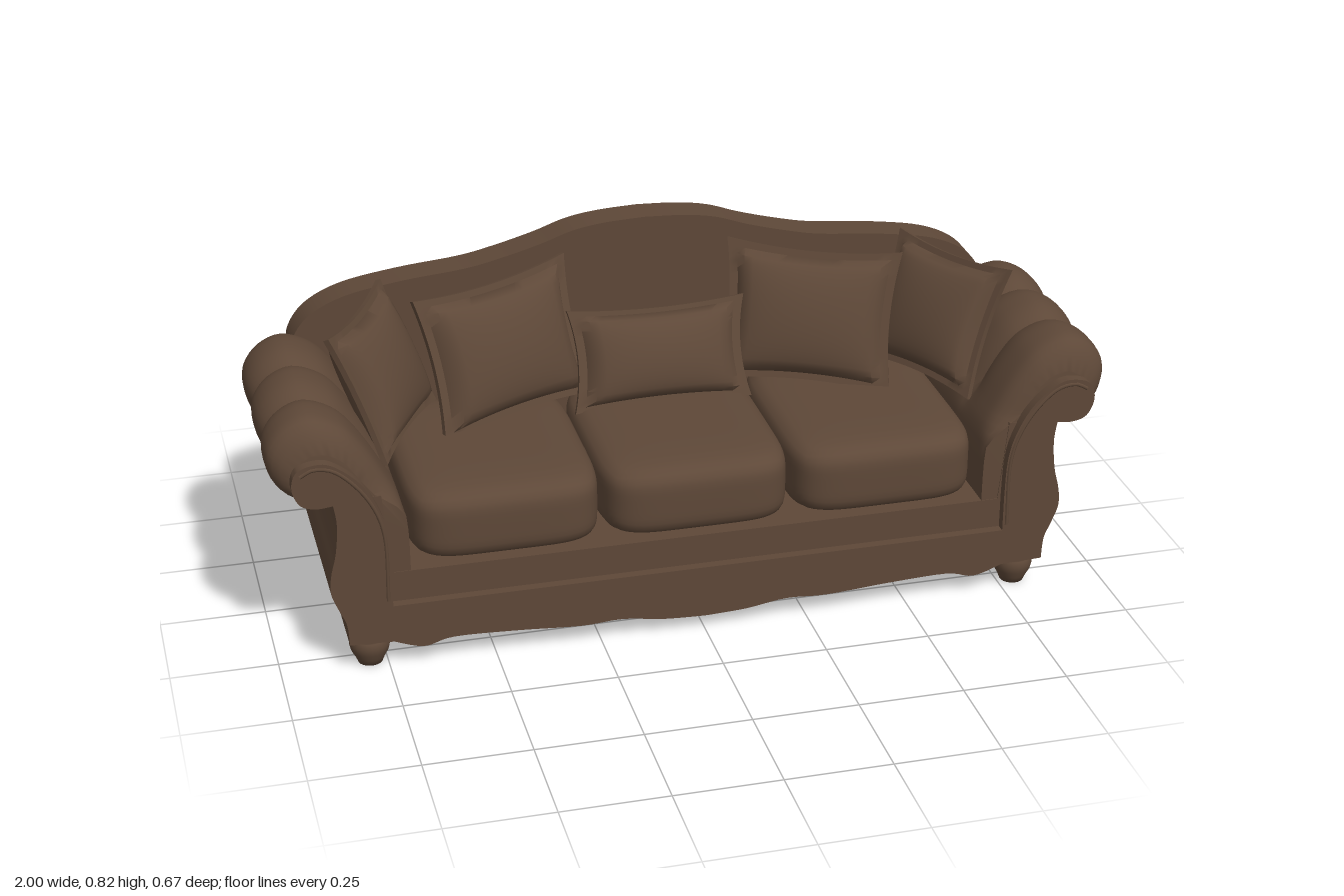
import * as THREE from 'three';
import { mergeVertices, toCreasedNormals } from 'three/addons/utils/BufferGeometryUtils.js';

const upholstery = new THREE.MeshStandardMaterial({ color: 0x5e4838 });
upholstery.name = 'brown upholstery';

const vecs = (pts) => pts.map(([x, y]) => new THREE.Vector2(x, y));
const smooth = (pts, n = 5) => new THREE.SplineCurve(vecs(pts)).getPoints((pts.length - 1) * n);

// Full symmetric shape from the +x half, listed from bottom centre to top centre
function mirrored(half) {
  const left = half.slice(1, -1).reverse().map((p) => new THREE.Vector2(-p.x, p.y));
  return new THREE.Shape([...half, ...left]);
}

function slab(shape, z0, z1, steps = 1) {
  const g = new THREE.ExtrudeGeometry(shape, { depth: z1 - z0, steps, bevelEnabled: false });
  g.translate(0, 0, z0);
  return g;
}

// Move every vertex by a rule
function reshape(g, rule) {
  const p = g.attributes.position;
  const v = new THREE.Vector3();
  for (let i = 0; i < p.count; i++) {
    v.fromBufferAttribute(p, i);
    rule(v);
    p.setXYZ(i, v.x, v.y, v.z);
  }
  return g;
}

function weld(g) {
  g.deleteAttribute('uv');
  g.deleteAttribute('normal');
  const m = mergeVertices(g, 1e-5);
  m.computeVertexNormals();
  return m;
}

// Outline pieces shared by body, front panel and back
const scallop = smooth([[0, 0.035], [0.1, 0.04], [0.2, 0.054], [0.3, 0.05], [0.45, 0.06],
  [0.6, 0.065], [0.67, 0.05], [0.74, 0.072]]);
const side = smooth([[0.842, 0.076], [0.846, 0.13], [0.862, 0.17], [0.878, 0.215], [0.876, 0.26],
  [0.862, 0.32], [0.856, 0.39], [0.862, 0.44]]);

// Padded arm: scroll section with three lobes along its depth
function armGeometry(s) {
  const section = smooth([[0.69, 0.23], [0.695, 0.38], [0.73, 0.465], [0.78, 0.55], [0.83, 0.605],
    [0.9, 0.632], [0.96, 0.61], [0.997, 0.56], [0.995, 0.5], [0.965, 0.455], [0.91, 0.437],
    [0.857, 0.442]], 4);
  section.push(new THREE.Vector2(0.84, 0.35), new THREE.Vector2(0.8, 0.23));
  const shape = new THREE.Shape(section.map((p) => new THREE.Vector2(p.x * s, p.y)));
  const g = slab(shape, -0.25, 0.31, 42);
  reshape(g, (v) => {
    const t = ((v.z + 0.25) / 0.56) * 3;
    const lobe = Math.abs(2 * (t - Math.min(2, Math.floor(t))) - 1);
    let f = 1 - 0.13 * lobe ** 2.5;
    const end = THREE.MathUtils.clamp((v.z - 0.25) / 0.06, 0, 1);
    f -= 0.27 * end ** 3;
    const k = 1 + (f - 1) * THREE.MathUtils.smoothstep(v.y, 0.38, 0.47);
    v.x = s * (0.86 + (Math.abs(v.x) - 0.86) * k);
    if (v.y > 0.45) v.y = 0.45 + (v.y - 0.45) * k;
  });
  return toCreasedNormals(g, 0.7);
}

// Plump seat cushion: a cube rounded to a superellipsoid
function cushionGeometry(w, h, d) {
  return weld(reshape(new THREE.BoxGeometry(2, 2, 2, 22, 12, 22), (v) => {
    const k = 5.5;
    const n = (Math.abs(v.x) ** k + Math.abs(v.y) ** k + Math.abs(v.z) ** k) ** (1 / k);
    v.set((v.x / n) * w / 2, (v.y / n) * h / 2, (v.z / n) * d / 2);
  }));
}

// Throw pillow: puffed middle, flat flange and pulled-out corners
function pillowGeometry(w, h, t) {
  const g = reshape(new THREE.BoxGeometry(2, 2, 2, 20, 20, 1), (v) => {
    const u = v.x, q = v.y;
    const a = Math.max(0, 1 - (u / 0.9) ** 2), b = Math.max(0, 1 - (q / 0.9) ** 2);
    const inside = a > 1e-6 && b > 1e-6;
    const z = 0.007 + (inside ? 0.006 + t * (a * b) ** 0.42 : 0);
    v.set(u * (w / 2) * (1 - 0.08 * (1 - q * q)), q * (h / 2) * (1 - 0.1 * (1 - u * u)), Math.sign(v.z) * z);
  });
  g.deleteAttribute('uv');
  return toCreasedNormals(g, 0.9);
}

export function createModel() {
  const model = new THREE.Group();
  model.name = 'sofa';
  const add = (name, geometry, x = 0, y = 0, z = 0) => {
    const m = new THREE.Mesh(geometry, upholstery);
    m.name = name;
    m.position.set(x, y, z);
    model.add(m);
    return m;
  };

  // Body with scalloped underside
  const body = mirrored([...scallop, ...side, ...vecs([[0.75, 0.44], [0.73, 0.24], [0, 0.24]])]);
  add('body', toCreasedNormals(slab(body, -0.25, 0.312), 0.6));

  // Front panel rising into the two scrolls
  const scroll = smooth([[0.862, 0.44], [0.9, 0.437], [0.935, 0.45], [0.952, 0.49], [0.942, 0.53],
    [0.905, 0.546], [0.86, 0.54], [0.8, 0.49], [0.76, 0.42], [0.742, 0.35], [0.738, 0.25]]).slice(1);
  const panel = mirrored([...scallop, ...side, ...scroll, ...vecs([[0.738, 0.165], [0, 0.165]])]);
  add('frontPanel', toCreasedNormals(slab(panel, 0.305, 0.335), 0.6));

  // Arched back
  const arch = smooth([[0.86, 0.53], [0.873, 0.58], [0.83, 0.645], [0.74, 0.69], [0.6, 0.715],
    [0.45, 0.73], [0.36, 0.748], [0.26, 0.775], [0.18, 0.802], [0.1, 0.815], [0, 0.82]]);
  const back = mirrored([...scallop, ...side, ...vecs([[0.862, 0.475], [0.835, 0.48], [0.835, 0.51]]), ...arch]);
  add('back', toCreasedNormals(slab(back, -0.335, -0.25), 0.6));

  // Seat cushions
  for (const i of [-1, 0, 1]) add('seatCushion', cushionGeometry(0.456, 0.185, 0.56), i * 0.456, 0.328, 0.035);

  // Centre pillow
  const centre = add('centrePillow', pillowGeometry(0.44, 0.25, 0.05), 0, 0.52, -0.105);
  centre.rotation.x = -0.35;

  const foot = new THREE.LatheGeometry(vecs([[0, 0], [0.029, 0], [0.035, 0.015], [0.044, 0.032],
    [0.048, 0.05], [0.044, 0.064], [0.04, 0.068], [0.047, 0.073], [0.047, 0.085]]), 24);

  for (const s of [-1, 1]) {
    add(s > 0 ? 'leftArm' : 'rightArm', armGeometry(s));

    // Piping along the scroll
    const path = [[0.748, 0.18], [0.75, 0.35], [0.77, 0.42], [0.81, 0.483], [0.862, 0.528],
      [0.905, 0.534], [0.932, 0.52]].map(([x, y]) => new THREE.Vector3(x * s, y, 0.333));
    add('scrollPiping', new THREE.TubeGeometry(new THREE.CatmullRomCurve3(path), 32, 0.005, 6));

    // Back and side pillows lean outward in a fan
    const large = add('backPillow', pillowGeometry(0.43, 0.35, 0.055), s * 0.38, 0.575, -0.115);
    large.rotation.set(-0.3, -s * 0.38, -s * 0.04, 'YXZ');
    const outer = add('sidePillow', pillowGeometry(0.36, 0.33, 0.05), s * 0.685, 0.575, -0.055);
    outer.rotation.set(-0.4, -s * 1.08, 0, 'YXZ');

    // Turned feet
    for (const z of [0.28, -0.285]) add('foot', foot, s * 0.79, 0, z);
  }
  return model;
}
